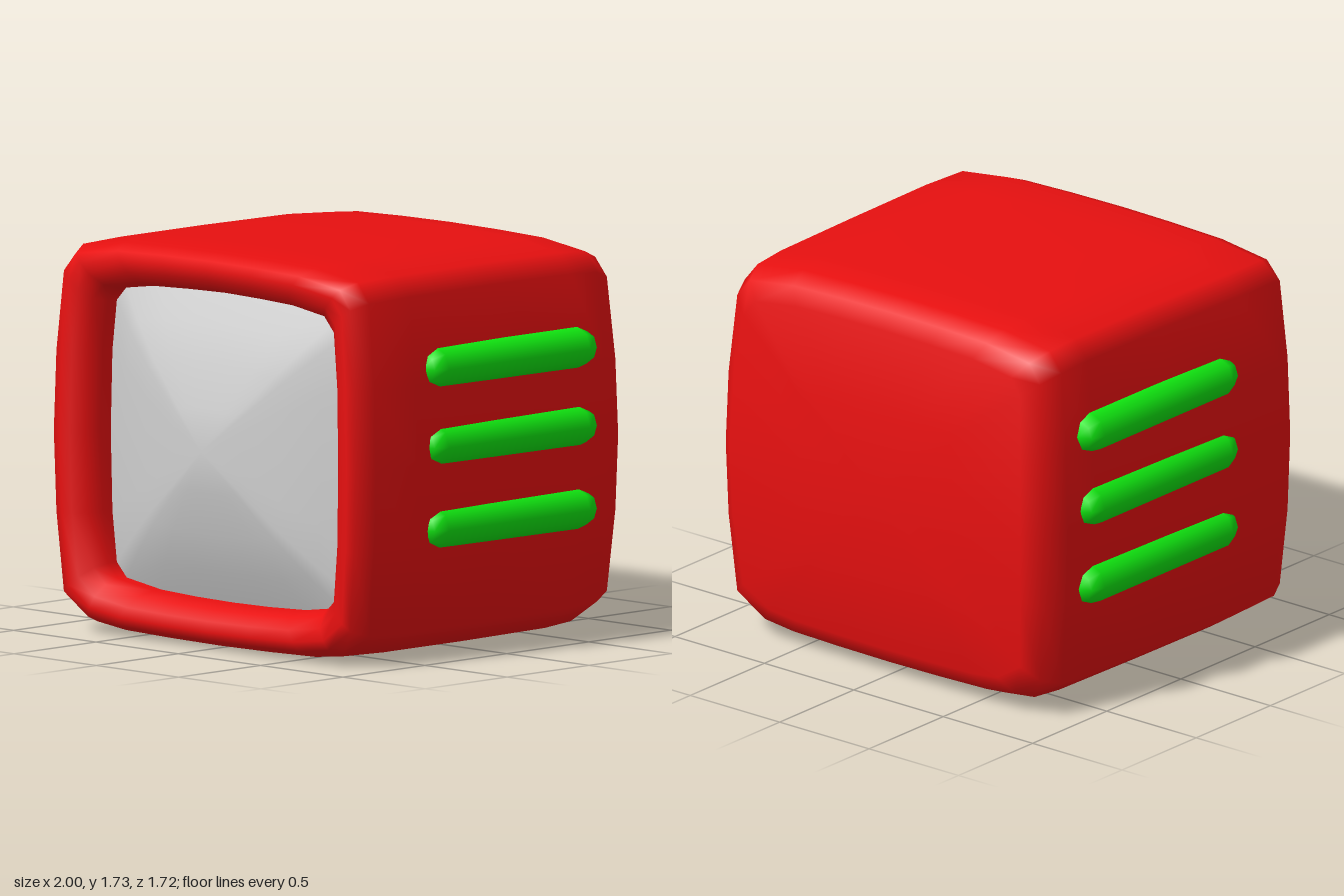
import * as THREE from 'three';
import { mergeVertices } from 'three/addons/utils/BufferGeometryUtils.js';

const CENTRE_Y = 0.867;

// Right half of each outline, from bottom middle to top middle
const OUTER = [[0, -0.863], [0.3, -0.86], [0.58, -0.853], [0.75, -0.833], [0.91, -0.73], [0.945, -0.35], [0.957, 0],
  [0.945, 0.35], [0.91, 0.73], [0.84, 0.817], [0.58, 0.852], [0.3, 0.86], [0, 0.863]];
const INNER = [[0, -0.675], [0.22, -0.672], [0.44, -0.663], [0.65, -0.632], [0.71, -0.57], [0.737, -0.35], [0.747, 0],
  [0.737, 0.35], [0.71, 0.57], [0.65, 0.632], [0.44, 0.663], [0.22, 0.672], [0, 0.677]];

// Close a half outline by mirroring it, running anticlockwise from the front
const mirror = half => [...half, ...half.slice(1, -1).reverse().map(([x, y]) => [-x, y])];
const outer = mirror(OUTER);
const inner = mirror(INNER);

// Skin a list of equal-length rings with smooth normals
function loft(rings) {
  const n = rings[0].length;
  const index = [];
  for (let r = 0; r < rings.length - 1; r++) {
    for (let i = 0; i < n; i++) {
      const j = (i + 1) % n;
      const a = r * n + i, b = r * n + j, c = b + n, d = a + n;
      index.push(a, b, c, a, c, d);
    }
  }
  const geometry = new THREE.BufferGeometry();
  geometry.setAttribute('position', new THREE.Float32BufferAttribute(rings.flat(2), 3));
  geometry.setIndex(index);
  const merged = mergeVertices(geometry, 1e-4);
  merged.computeVertexNormals();
  return merged;
}

// Outline scaled by sx, sy; the ring bows along z by bow at mid height
const ring = (outline, sx, sy, z, bow = 0) =>
  outline.map(([x, y]) => [x * sx, y * sy, z + bow * (1 - (y / 0.863) ** 2)]);

// Rim ring blended from the outer outline (t = 0) to the opening (t = 1)
const rimRing = (t, z) => ring(outer.map(([x, y], i) =>
  [x + (inner[i][0] - x) * t, y + (inner[i][1] - y) * t]), 1, 1, z, 0.025);

export function createModel() {
  const model = new THREE.Group();
  const red = new THREE.MeshStandardMaterial({ color: 0xe81010 });
  red.name = 'casing red';
  const green = new THREE.MeshStandardMaterial({ color: 0x10e810 });
  green.name = 'vent green';
  const grey = new THREE.MeshStandardMaterial({ color: 0xd0d0d0 });
  grey.name = 'screen grey';

  const add = (name, geometry, material, x = 0, y = CENTRE_Y, z = 0) => {
    const mesh = new THREE.Mesh(geometry, material);
    mesh.name = name;
    mesh.position.set(x, y, z);
    model.add(mesh);
    return mesh;
  };

  // Casing: bowed back, soft box sides, rounded rim, then the wall of the opening
  add('casing', loft([
    ring(outer, 0, 0, -0.85),
    ring(outer, 0.45, 0.45, -0.842, -0.01),
    ring(outer, 0.85, 0.85, -0.795, -0.062),
    ring(outer, 0.93, 0.935, -0.755, -0.035),
    ring(outer, 0.973, 0.98, -0.66, -0.02),
    ring(outer, 0.98, 0.995, -0.5),
    ring(outer, 0.988, 1, 0),
    ring(outer, 1, 0.998, 0.5),
    ring(outer, 0.994, 0.99, 0.74, 0.01),
    rimRing(0.2, 0.815),
    rimRing(0.4, 0.825),
    rimRing(0.65, 0.815),
    rimRing(0.9, 0.77),
    rimRing(1, 0.7),
    rimRing(1, 0.6),
  ]), red);

  // Bulging screen
  add('screen', loft([
    ring(inner, 1.02, 1.02, 0.655),
    ring(inner, 0.8, 0.8, 0.725),
    ring(inner, 0.55, 0.55, 0.785),
    ring(inner, 0.27, 0.27, 0.825),
    ring(inner, 0, 0, 0.862),
  ]), grey);

  // Three raised vent bars on each side
  const bar = new THREE.CapsuleGeometry(0.09, 0.86, 2, 8).rotateX(Math.PI / 2).scale(0.9, 1, 1);
  for (const [side, label] of [[1, 'left'], [-1, 'right']]) {
    [0.575, 0.935, 1.275].forEach((y, i) =>
      add(`${label}VentBar${i + 1}`, bar, green, side * 0.919, y, -0.08));
  }
  return model;
}
